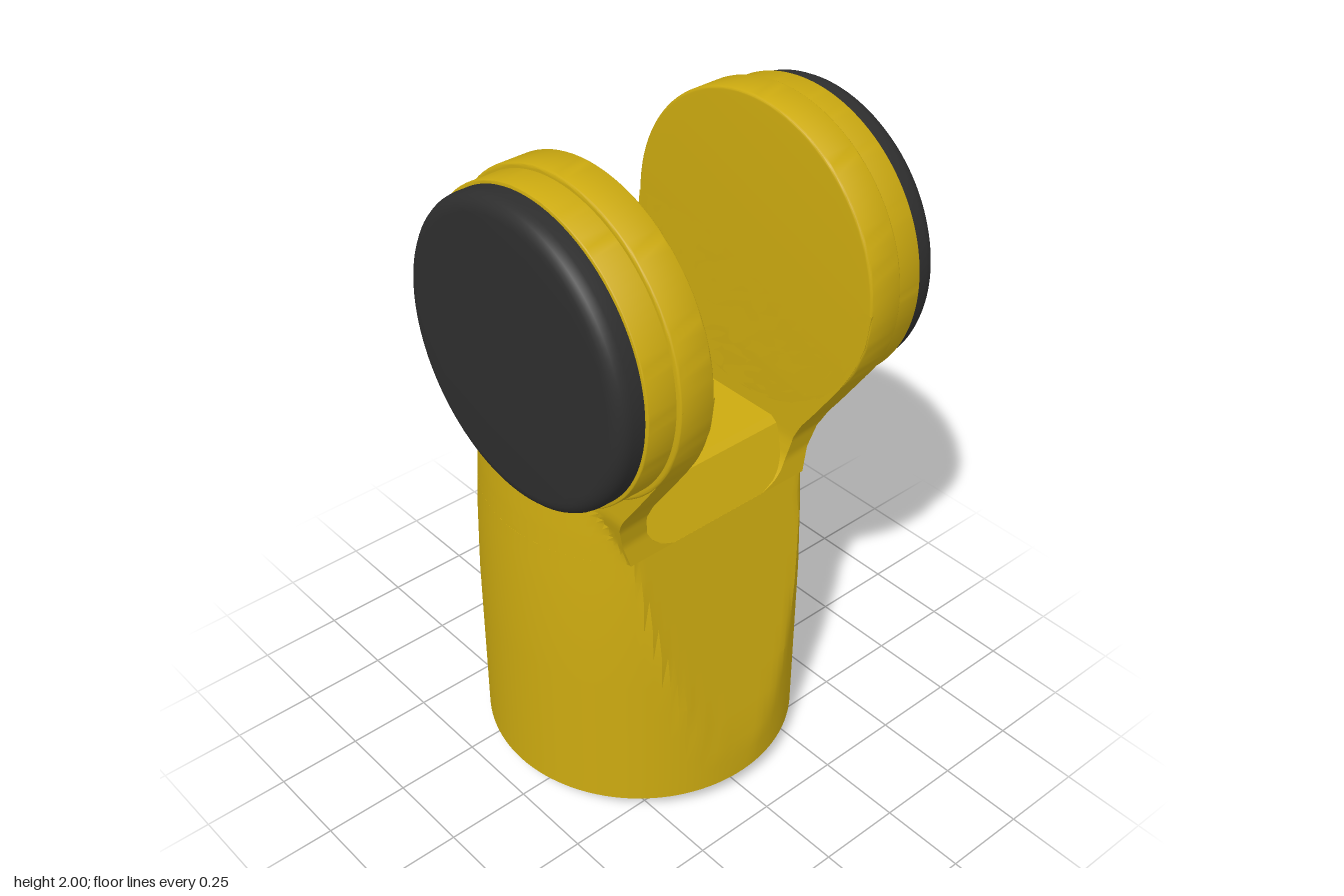
import * as THREE from 'three';
import { toCreasedNormals } from 'three/addons/utils/BufferGeometryUtils.js';

const yellow = new THREE.MeshStandardMaterial({ color: 0xccaa10 });
const black = new THREE.MeshStandardMaterial({ color: 0x2e2e2e });
const AXIS = -0.06;                 // x of the tube axis
const PIVOT = [0.08, 1.565];        // x, y of the fork pivot

// piecewise linear lookup in [[y, value], ...]
function lookup(table, y) {
  if (y <= table[0][0]) return table[0][1];
  for (let i = 1; i < table.length; i++) {
    const [y0, v0] = table[i - 1], [y1, v1] = table[i];
    if (y <= y1) return v0 + (v1 - v0) * (y - y0) / (y1 - y0);
  }
  return table[table.length - 1][1];
}

const radius = [[0.07, 0.456], [0.6, 0.457], [0.8, 0.452], [1, 0.442], [1.15, 0.432], [1.565, 0.45]];
const bodyRight = [[0.07, 0.4], [0.2, 0.39], [0.95, 0.266]];
const cheekRight = [[0.93, 0.27], [1, 0.262], [1.07, 0.275], [1.12, 0.3], [1.18, 0.343],
  [1.3, 0.425], [1.38, 0.47], [1.47, 0.503], [1.565, 0.515]];
const cheekLeft = [[0.93, -0.51], [1.06, -0.44], [1.12, -0.418], [1.2, -0.4], [1.4, -0.372], [1.565, -0.353]];
const slotHalf = [[0.92, 0.05], [0.93, 0.16], [0.95, 0.21], [0.97, 0.23], [1, 0.248], [1.06, 0.26]];
const shoulder = [[0.93, 0.31], [1.1, 0.36]];

// skin closed loops of [x, y, z] and cap both ends
function loft(loops) {
  const n = loops[0].length, pos = [], idx = [];
  loops.forEach(l => l.forEach(p => pos.push(...p)));
  for (let k = 0; k < loops.length - 1; k++) {
    for (let i = 0; i < n; i++) {
      const a = k * n + i, b = k * n + (i + 1) % n;
      idx.push(a, a + n, b, b, a + n, b + n);
    }
  }
  [0, loops.length - 1].forEach((k, top) => {
    const c = [0, 1, 2].map(j => loops[k].reduce((s, p) => s + p[j], 0) / n);
    const ci = pos.length / 3;
    pos.push(...c);
    for (let i = 0; i < n; i++) {
      const a = k * n + i, b = k * n + (i + 1) % n;
      if (top) idx.push(ci, b, a); else idx.push(ci, a, b);
    }
  });
  const g = new THREE.BufferGeometry();
  g.setAttribute('position', new THREE.Float32BufferAttribute(pos, 3));
  g.setIndex(idx);
  return toCreasedNormals(g, 0.45);
}

// round tube section trimmed to a box in x and z
function tubeLoop(y, xMin, xMax, zMax) {
  const r = lookup(radius, y);
  return Array.from({ length: 120 }, (_, i) => {
    const a = i / 120 * Math.PI * 2;
    return [THREE.MathUtils.clamp(AXIS + r * Math.cos(a), xMin, xMax), y,
      THREE.MathUtils.clamp(r * Math.sin(a), -zMax, zMax)];
  });
}

// section of one fork arm, side = +1 front, -1 back
function cheekLoop(y, side) {
  const r = lookup(radius, y), N = 36, outer = [], inner = [];
  const zIn = x => lookup(slotHalf, y - 0.05 * THREE.MathUtils.clamp((0.1 - x) / 0.4, 0, 1));
  const zEdge = zIn(-0.5);
  const x0 = Math.max(lookup(cheekLeft, y), AXIS - Math.sqrt(r * r - zEdge * zEdge));
  const x1 = lookup(cheekRight, y);
  for (let i = 0; i <= N; i++) {
    const x = x1 + (x0 - x1) * (1 - Math.cos(i / N * Math.PI)) / 2;
    const round = Math.sqrt(Math.max(0, r * r - (x - AXIS) ** 2));
    const z = Math.min(0.445, Math.max(round, x > AXIS ? lookup(shoulder, y) : 0));
    outer.push([x, y, side * Math.max(z, zIn(x) + 0.002)]);
    inner.unshift([x, y, side * zIn(x)]);
  }
  const loop = [...outer, ...inner];
  return side > 0 ? loop : loop.reverse();
}

// disc outline, optionally with a rounded square corner at lower -x
function outline(r, cornered) {
  const s = new THREE.Shape();
  if (!cornered) return s.absarc(0, 0, r, 0, Math.PI * 2, false);
  const c = r * 0.25;
  s.absarc(0, 0, r, -Math.PI / 2, Math.PI, false);
  s.lineTo(-r, -r + c);
  s.quadraticCurveTo(-r, -r, -r + c, -r);
  s.lineTo(0, -r);
  return s;
}

// bevelled plate around the pivot between two distances from the middle
function plate(name, material, r, z0, z1, bevel, side, cornered = false) {
  const g = new THREE.ExtrudeGeometry(outline(r - bevel, cornered), {
    depth: z1 - z0 - 2 * bevel, bevelThickness: bevel, bevelSize: bevel,
    bevelSegments: 5, curveSegments: 48,
  });
  g.translate(PIVOT[0], PIVOT[1], (side > 0 ? z0 : -z1) + bevel);
  const m = new THREE.Mesh(toCreasedNormals(g, 0.5), material);
  m.name = name;
  return m;
}

export function createModel() {
  const model = new THREE.Group();
  model.name = 'forkJoint';
  const add = (name, geometry) => {
    const m = new THREE.Mesh(geometry, yellow);
    m.name = name;
    model.add(m);
    return m;
  };

  // mounting spigot
  add('spigot', new THREE.CylinderGeometry(0.277, 0.277, 0.1, 64)).position.set(AXIS, 0.05, 0);

  // tube with one slanted flat
  const heights = [0.07, 0.14, 0.2, 0.3, 0.4, 0.5, 0.6, 0.7, 0.8, 0.87, 0.93];
  add('body', loft(heights.map(y => tubeLoop(y, -1, lookup(bodyRight, y), 1))));

  // raised floor between the arms
  add('slotFloor', loft([
    tubeLoop(0.93, -1, 0.269, 0.27),
    tubeLoop(0.98, -1, 0.25, 0.27),
    tubeLoop(1.085, -0.32, 0.21, 0.27),
    tubeLoop(1.1, -0.28, 0.19, 0.27),
  ]));

  // fork arms, each with its hinge disc, collar and cap
  const rows = Array.from({ length: 33 }, (_, i) => 0.93 + (PIVOT[1] - 0.93) * (i / 32) ** 1.3);
  for (const side of [1, -1]) {
    const label = side > 0 ? 'front' : 'back', cornered = side < 0;
    add(label + 'Arm', loft(rows.map(y => cheekLoop(y, side))));
    model.add(
      plate(label + 'HingeDisc', yellow, 0.435, 0.26, 0.365, 0.008, side),
      plate(label + 'Collar', yellow, 0.42, 0.3, 0.45, 0.004, side, cornered),
      plate(label + 'Cap', black, 0.41, 0.4, 0.525, 0.04, side, cornered),
    );
  }
  return model;
}
